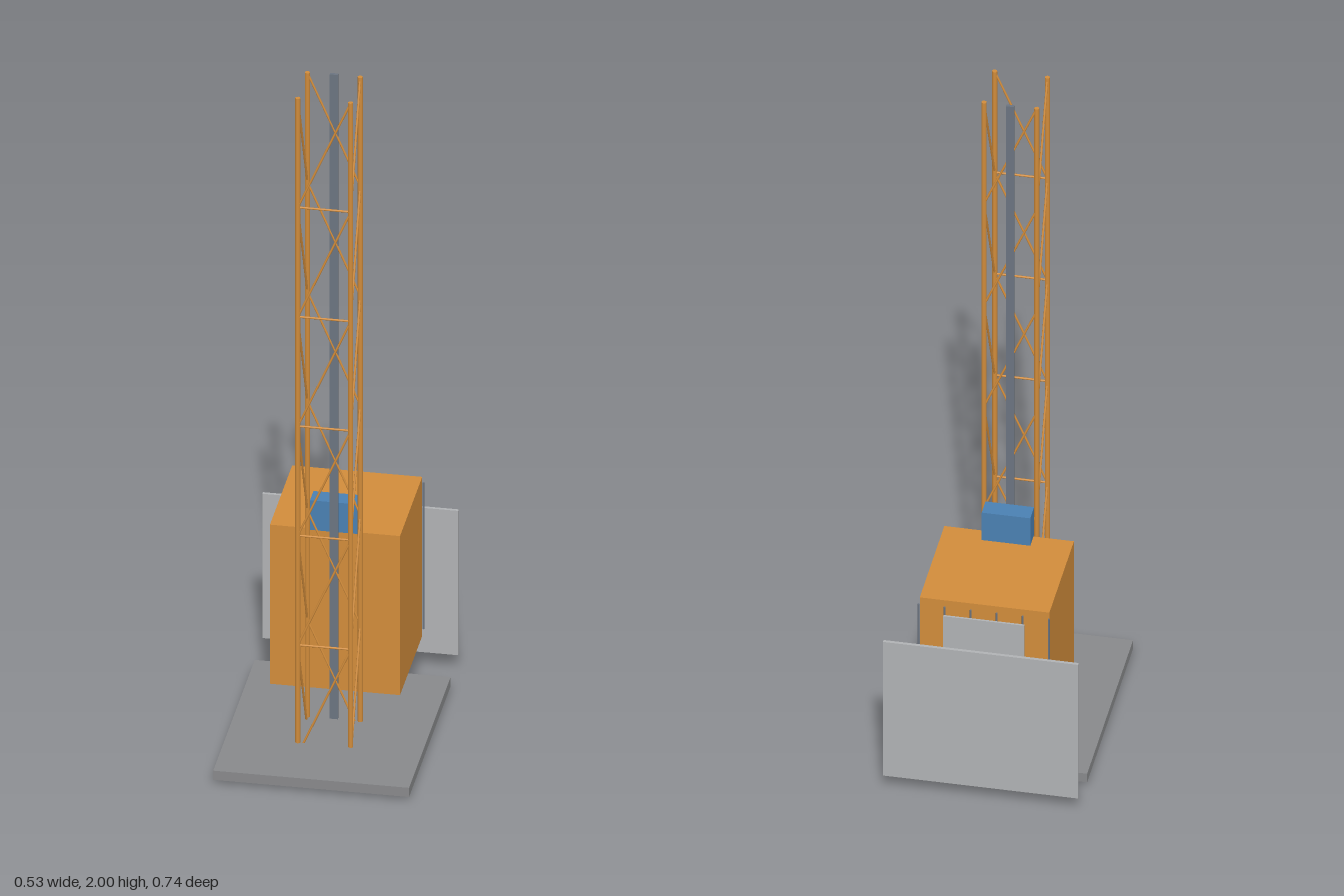
import * as THREE from 'three';

const paint = (name, color) => {
  const m = new THREE.MeshStandardMaterial({ color });
  m.name = name;
  return m;
};

export function createModel() {
  const root = new THREE.Group();
  root.name = 'constructionHoist';

  const orange = paint('safety orange', 0xd18c3b);
  const concrete = paint('base grey', 0x88898b);
  const sheet = paint('sheet metal grey', 0xb0b2b4);
  const steel = paint('dark steel', 0x6b7480);
  const blue = paint('motor blue', 0x4a80b2);

  // Box given by its lowest and highest corners
  const box = (name, mat, [x0, y0, z0], [x1, y1, z1], parent = root) => {
    const mesh = new THREE.Mesh(new THREE.BoxGeometry(x1 - x0, y1 - y0, z1 - z0), mat);
    mesh.position.set((x0 + x1) / 2, (y0 + y1) / 2, (z0 + z1) / 2);
    mesh.name = name;
    parent.add(mesh);
  };

  // Round bar between two points
  const up = new THREE.Vector3(0, 1, 0);
  const bar = (name, mat, a, b, radius, parent) => {
    const dir = b.clone().sub(a);
    const mesh = new THREE.Mesh(new THREE.CylinderGeometry(radius, radius, dir.length(), 8), mat);
    mesh.position.copy(a).add(b).multiplyScalar(0.5);
    mesh.quaternion.setFromUnitVectors(up, dir.normalize());
    mesh.name = name;
    parent.add(mesh);
  };

  // Foundation slab
  box('baseSlab', concrete, [-0.265, 0.012, -0.249], [0.265, 0.04, 0.37]);

  // Lattice mast: four legs, one rising brace per face and section, front rungs
  const mast = new THREE.Group();
  mast.name = 'mast';
  root.add(mast);
  const corners = [[-0.0715, 0.1755], [0.0715, 0.1755], [0.0715, 0.0315], [-0.0715, 0.0315]];
  const at = (i, y) => new THREE.Vector3(corners[i % 4][0], y, corners[i % 4][1]);
  const bottom = 0.003, sections = 6, step = (2 - bottom) / sections;
  for (let i = 0; i < 4; i++) bar('mastLeg', orange, at(i, 0.013), at(i, 2), 0.007, mast);
  for (let s = 0; s < sections; s++) {
    const y = bottom + s * step;
    bar('mastRung', orange, at(0, y), at(1, y), 0.003, mast);
    for (let i = 0; i < 4; i++) {
      bar('mastBrace', orange, at(i, y), at(i + 1, y + step - 0.002), 0.003, mast);
    }
  }

  // Drive rack along the mast
  box('rack', steel, [-0.011, 0.04, 0.024], [0.011, 2, 0.033]);

  // Lift cage and its drive motor
  box('cage', orange, [-0.176, 0.12, -0.316], [0.176, 0.604, 0.015]);
  box('motor', blue, [-0.066, 0.604, -0.028], [0.066, 0.694, 0.024]);

  // Cage door with upright bars
  const door = new THREE.Group();
  door.name = 'cageDoor';
  root.add(door);
  for (let i = 0; i < 6; i++) {
    const x = -0.175 + i * 0.0707, z = -0.3195;
    bar('doorBar', steel, new THREE.Vector3(x, 0.14, z), new THREE.Vector3(x, 0.585, z), 0.0027, door);
  }
  box('doorPanel', sheet, [-0.11, 0.145, -0.328], [0.11, 0.56, -0.322], door);

  // Landing gate behind the cage
  box('landingGate', sheet, [-0.265, 0.045, -0.371], [0.265, 0.484, -0.362]);

  return root;
}
